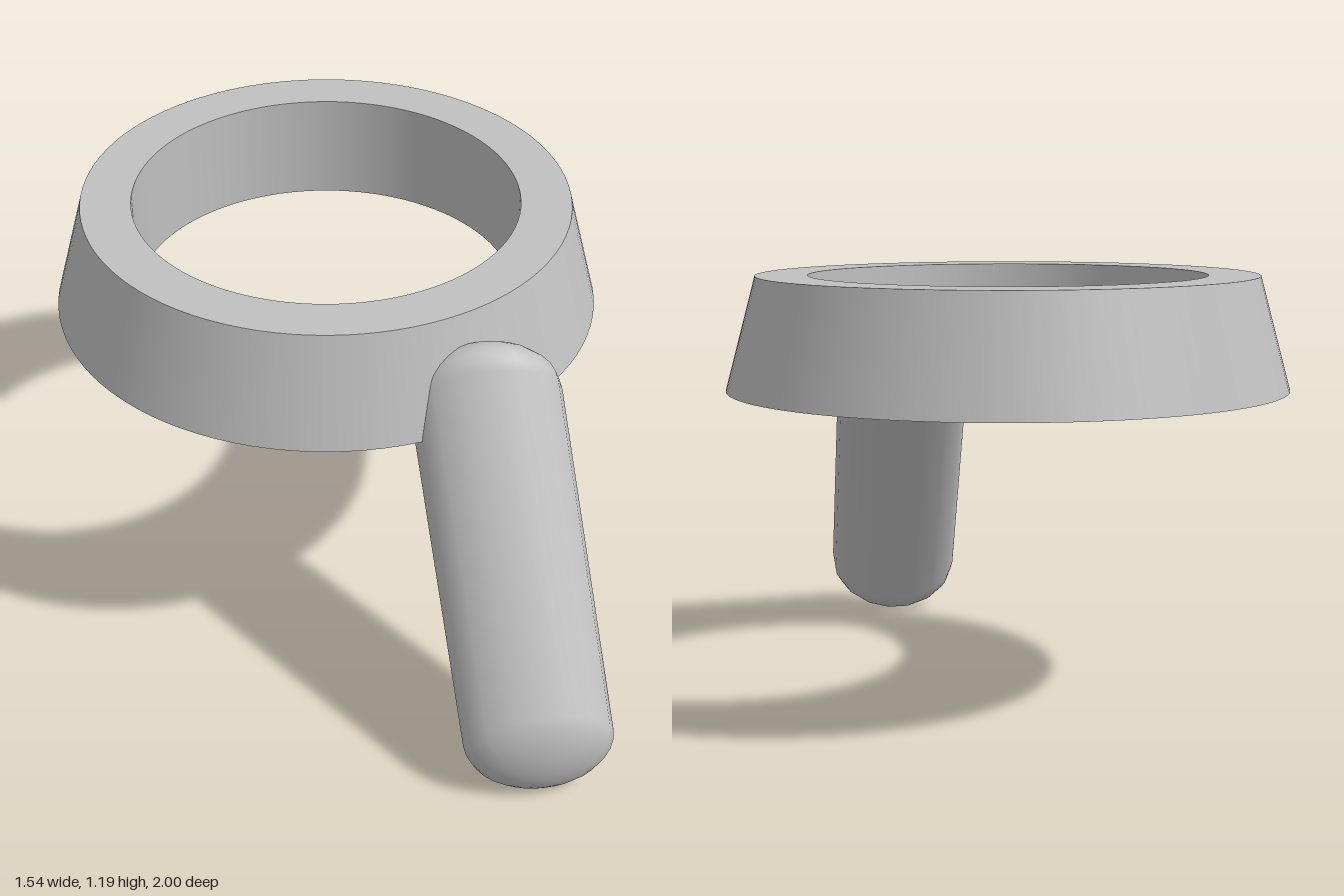
import * as THREE from 'three';
import { mergeGeometries } from 'three/addons/utils/BufferGeometryUtils.js';

// Ring with sharp rims: one lathe band per side of the closed profile.
function ringGeometry(profile, segments) {
  const bands = profile.map((p, i) =>
    new THREE.LatheGeometry([p, profile[(i + 1) % profile.length]], segments));
  return mergeGeometries(bands);
}

// Capsule between two points, swept from an axis-aligned ellipsoid with the given radii.
function ellipticCapsule(from, to, radii) {
  const axis = to.clone().sub(from).divide(radii);
  const geometry = new THREE.CapsuleGeometry(1, axis.length(), 8, 16);
  const up = new THREE.Vector3(0, 1, 0);
  geometry.applyQuaternion(new THREE.Quaternion().setFromUnitVectors(up, axis.normalize()));
  geometry.scale(radii.x, radii.y, radii.z);
  const middle = from.clone().add(to).multiplyScalar(0.5);
  return geometry.translate(middle.x, middle.y, middle.z);
}

export function createModel() {
  const model = new THREE.Group();
  const grey = new THREE.MeshStandardMaterial({ color: 0xc0c0c0 });
  grey.name = 'light grey';

  // Tapered ring with a straight bore
  const profile = [[0.77, 0.88], [0.687, 1.19], [0.545, 1.19], [0.545, 0.88]]
    .map(([r, y]) => new THREE.Vector2(r, y));
  const ring = new THREE.Mesh(ringGeometry(profile, 96), grey);
  ring.name = 'ring';
  ring.position.z = -0.23;
  model.add(ring);

  // Flattened handle sloping down and forward from the ring
  const handle = new THREE.Mesh(ellipticCapsule(
    new THREE.Vector3(0.487, 0.17, 0.91),
    new THREE.Vector3(0.375, 0.95, 0.425),
    new THREE.Vector3(0.203, 0.17, 0.09)), grey);
  handle.name = 'handle';
  model.add(handle);

  return model;
}
